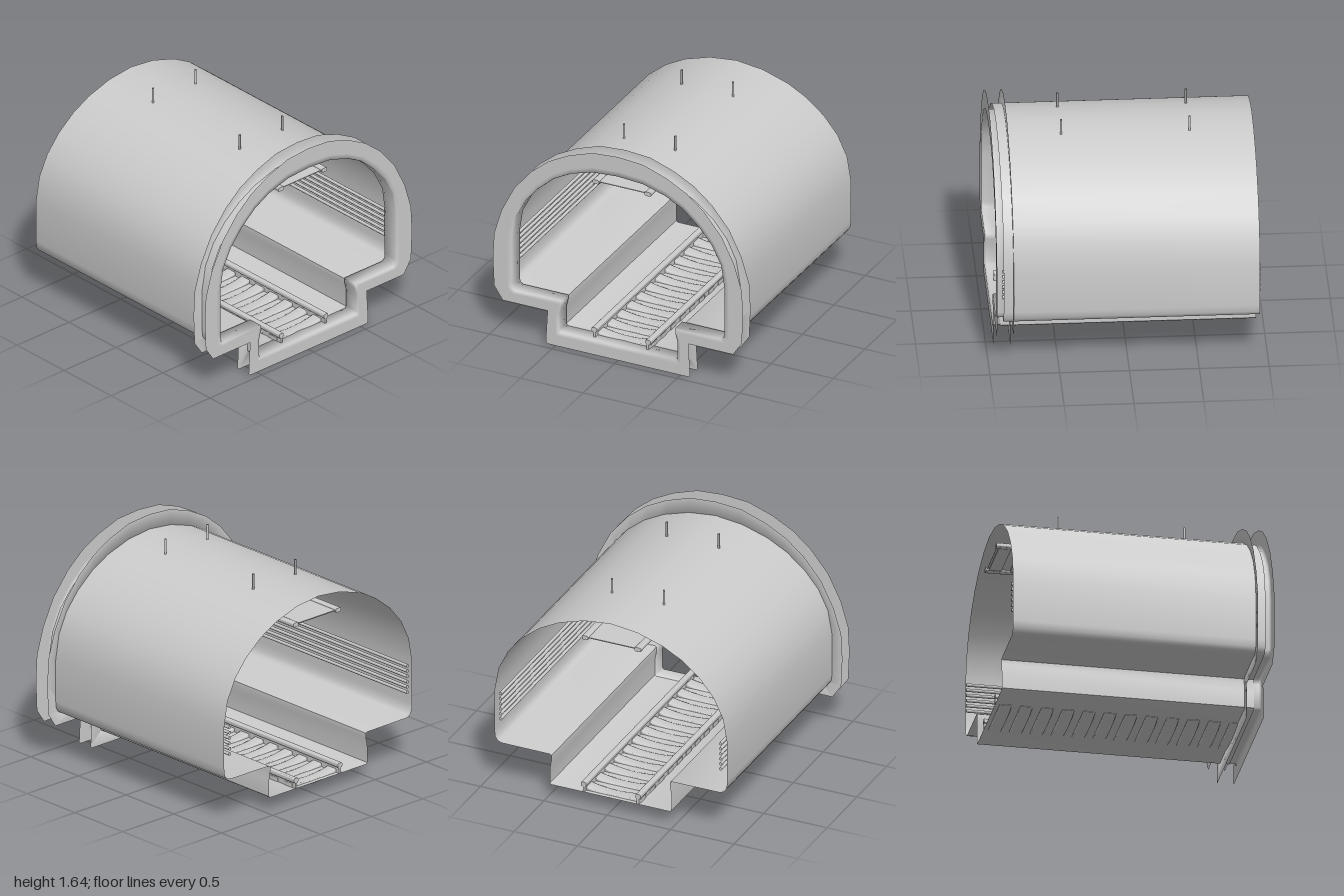
import * as THREE from 'three';
import { toCreasedNormals } from 'three/addons/utils/BufferGeometryUtils.js';

const mat = new THREE.MeshStandardMaterial({ color: 0xcccccc, side: THREE.DoubleSide });

// Half cross-sections, from floor centre round to the crown (the first two match point for point)
const OUTER = [[0, 0.005], [0.565, 0.005], [0.577, 0.02], [0.567, 0.2], [0.564, 0.25], [0.562, 0.272], [0.92, 0.272],
  [0.99, 0.375], [1, 0.6], [0.99, 0.8], [0.93, 1], [0.83, 1.2], [0.69, 1.37], [0.55, 1.485], [0.39, 1.57],
  [0.2, 1.635], [0, 1.65]];
const OPENING = [[0, 0.115], [0.465, 0.115], [0.475, 0.13], [0.475, 0.27], [0.462, 0.32], [0.457, 0.367], [0.82, 0.367],
  [0.845, 0.383], [0.85, 0.42], [0.85, 0.8], [0.825, 0.97], [0.75, 1.115], [0.65, 1.235], [0.52, 1.35], [0.38, 1.425],
  [0.2, 1.478], [0, 1.492]];
const SHELL = [[0, 0.115], [0.468, 0.115], [0.48, 0.125], [0.48, 0.25], [0.467, 0.32], [0.468, 0.353], [0.48, 0.361],
  [0.86, 0.363], [0.893, 0.375], [0.912, 0.405], [0.918, 0.46], [0.918, 0.78], [0.885, 0.97], [0.81, 1.125],
  [0.7, 1.257], [0.56, 1.37], [0.41, 1.45], [0.21, 1.513], [0, 1.537]];

// Mirror a half section into a closed loop
const mirror = half => [...half, ...half.slice(1, -1).reverse().map(([x, y]) => [-x, y])];

// Shrink a section slightly about its middle
const shrink = (half, s) => half.map(([x, y]) => [x * s, 0.8 + (y - 0.8) * s]);

// Section part of the way from one section to another
const blend = (a, b, t) => a.map(([x, y], i) => [x + (b[i][0] - x) * t, y + (b[i][1] - y) * t]);

// Skin closed loops placed along z; each station is [half section, z]
function loft(stations, crease) {
  const pos = [], index = [], n = mirror(stations[0][0]).length;
  for (const [half, z] of stations) for (const [x, y] of mirror(half)) pos.push(x, y, z);
  for (let j = 0; j < stations.length - 1; j++) {
    for (let i = 0; i < n; i++) {
      const a = j * n + i, b = j * n + (i + 1) % n;
      index.push(a, a + n, b, b, a + n, b + n);
    }
  }
  const g = new THREE.BufferGeometry();
  g.setAttribute('position', new THREE.Float32BufferAttribute(pos, 3));
  g.setIndex(index);
  return toCreasedNormals(g, crease);
}

function add(parent, name, geo, x = 0, y = 0, z = 0) {
  const m = new THREE.Mesh(geo, mat);
  m.name = name;
  m.position.set(x, y, z);
  parent.add(m);
}

function group(parent, name) {
  const g = new THREE.Group();
  g.name = name;
  parent.add(g);
  return g;
}

// Rounded bar section extruded along z, centred on its own middle
function bar(w, h, len) {
  const s = new THREE.Shape(), r = Math.min(w, h) * 0.35, x = w / 2, y = h / 2;
  s.moveTo(-x + r, -y).lineTo(x - r, -y).quadraticCurveTo(x, -y, x, -y + r).lineTo(x, y - r)
    .quadraticCurveTo(x, y, x - r, y).lineTo(-x + r, y).quadraticCurveTo(-x, y, -x, y - r)
    .lineTo(-x, -y + r).quadraticCurveTo(-x, -y, -x + r, -y);
  const g = new THREE.ExtrudeGeometry(s, { depth: len, bevelEnabled: false, curveSegments: 3 });
  return toCreasedNormals(g.translate(0, 0, -len / 2), 0.7);
}

// Sleeper: a softened slab that sags in the middle
function sleeperGeometry() {
  const s = new THREE.Shape();
  s.moveTo(0.225, 0.147).quadraticCurveTo(0, 0.093, -0.225, 0.147)
    .lineTo(-0.225, 0.112).quadraticCurveTo(0, 0.07, 0.225, 0.112);
  const g = new THREE.ExtrudeGeometry(s, {
    depth: 0.074, bevelThickness: 0.008, bevelSize: 0.006, bevelOffset: -0.006, bevelSegments: 2, curveSegments: 10,
  });
  return toCreasedNormals(g.translate(0, 0, -0.037), 0.9);
}

export function createModel() {
  const tunnel = new THREE.Group();
  tunnel.name = 'tunnelSection';
  const zBack = -0.94, zFront = 0.895, len = zFront - zBack, mid = (zFront + zBack) / 2;

  // Thin tunnel lining
  add(tunnel, 'lining', loft([[SHELL, zFront], [SHELL, zBack]], 0.75));

  // Portal collar: rear flange, inner sleeve and front flange, open on the outside
  const sleeve = shrink(OPENING, 0.993);
  add(tunnel, 'portalCollar', loft([[OUTER, 0.825], [sleeve, 0.825], [sleeve, 0.932], [OPENING, 0.945],
    [blend(OPENING, OUTER, 0.25), 0.945], [OUTER, 0.945]], 1.7));

  // Track sleepers poke slightly through the floor; ribs stiffen the ceiling rack below its plate
  const track = group(tunnel, 'track'), rack = group(tunnel, 'ceilingRack');
  const sleeper = sleeperGeometry(), rib = new THREE.BoxGeometry(0.4, 0.01, 0.09);
  for (let i = 0; i < 12; i++) {
    add(track, 'sleeper', sleeper, 0, 0, 0.81 - i * 0.152);
    add(rack, 'rackRib', rib, 0, 1.364, 0.81 - i * 0.152);
  }
  add(rack, 'rackPlate', new THREE.BoxGeometry(0.4, 0.006, len - 0.04), 0, 1.371, mid);

  // Paired parts on both sides
  const railHead = bar(0.042, 0.036, len), railWeb = new THREE.BoxGeometry(0.016, 0.05, len);
  const rackRail = bar(0.05, 0.032, len - 0.02);
  const hanger = new THREE.CylinderGeometry(0.008, 0.008, 0.26, 10, 1, true);
  const pipe = new THREE.CylinderGeometry(0.012, 0.012, len + 0.01, 10).rotateX(Math.PI / 2);
  for (const side of [1, -1]) {
    add(track, 'railHead', railHead, side * 0.215, 0.177, mid);
    add(track, 'railWeb', railWeb, side * 0.213, 0.14, mid);
    add(rack, 'rackRail', rackRail, side * 0.208, 1.37, mid);
    for (const z of [0.44, -0.48]) add(rack, 'hangerRod', hanger, side * 0.205, 1.5, z);
    // Cable pipes along the wall
    for (let i = 0; i < 6; i++) add(tunnel, 'wallPipe', pipe, side * 0.868, 0.56 + i * 0.041, mid);
  }
  return tunnel;
}
